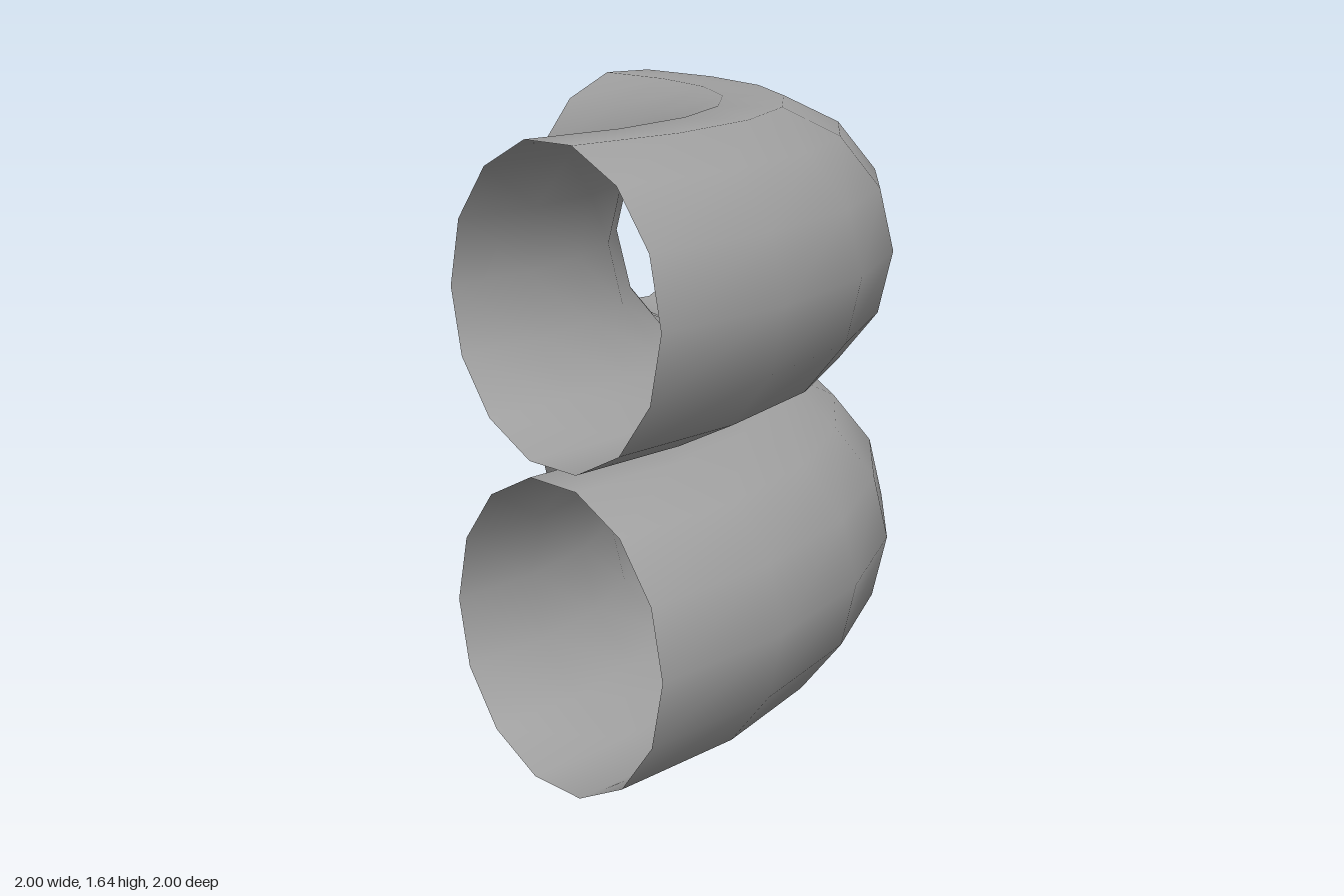
import * as THREE from 'three';

export function createModel() {
  const model = new THREE.Group();
  model.name = 'stackedPipeBends';

  const grey = new THREE.MeshStandardMaterial({ color: 0xa0a0a0, side: THREE.DoubleSide });
  grey.name = 'grey';

  const bendRadius = 1.59;
  const pipeRadius = 0.41;

  // Open quarter bend, sweeping from the back end (z = -1) to the right end (x = -1)
  const bend = new THREE.TorusGeometry(bendRadius, pipeRadius, 14, 7, Math.PI / 2);
  bend.rotateX(Math.PI / 2);
  bend.translate(-1, 0, -1);

  // Two equal bends, one above the other with a narrow gap
  const levels = { lowerPipeBend: 0.4, upperPipeBend: 1.242 };
  for (const [name, y] of Object.entries(levels)) {
    const pipe = new THREE.Mesh(bend, grey);
    pipe.name = name;
    pipe.position.y = y;
    model.add(pipe);
  }
  return model;
}
